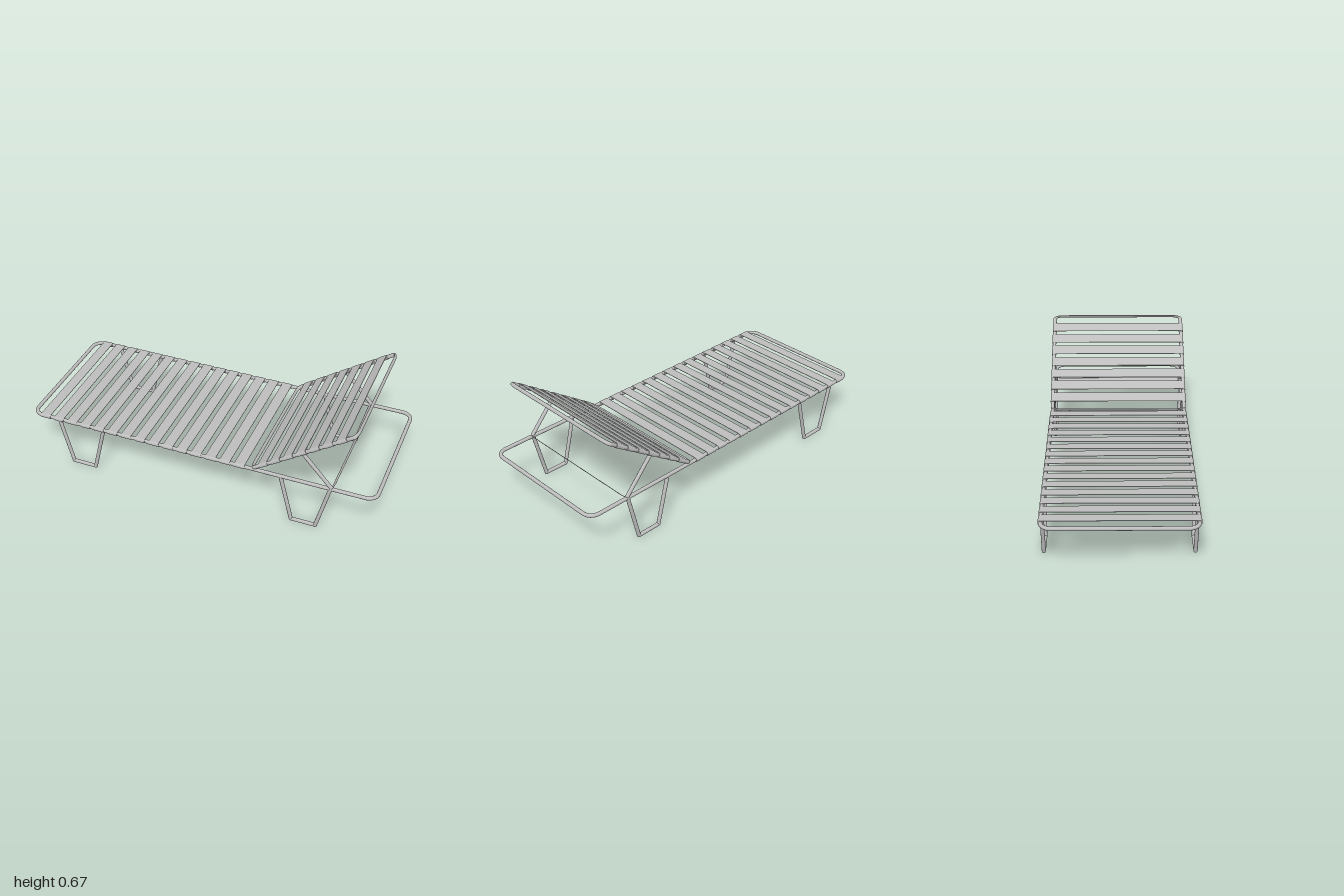
import * as THREE from 'three';

const R = 0.0105;        // tube radius
const HALF_W = 0.385;    // tube centre line, half width
const HALF_L = 0.988;    // main frame centre line, half length
const DECK_Y = 0.287;
const PITCH = 0.0826;    // strap spacing

const metal = new THREE.MeshStandardMaterial({ color: 0xbdbdbd });
metal.name = 'lightGrey';

// Closed rounded rectangle of tube lying in the xz plane
function frameGeometry() {
  const c = 0.055, k = c * 0.45;
  const path = new THREE.CurvePath();
  path.arcLengthDivisions = 800;
  const v = (x, z) => new THREE.Vector3(x, 0, z);
  const corners = [[1, 1], [-1, 1], [-1, -1], [1, -1]];
  corners.forEach(([sx, sz], i) => {
    const x = sx * HALF_L, z = sz * HALF_W;
    const nearX = v(x - sx * c, z), nearZ = v(x, z - sz * c);
    const kX = v(x - sx * k, z), kZ = v(x, z - sz * k);
    // Odd corners are entered along x, even corners along z
    const [a, ka, kb, b] = i % 2 ? [nearX, kX, kZ, nearZ] : [nearZ, kZ, kX, nearX];
    path.add(new THREE.CubicBezierCurve3(a, ka, kb, b));
    const [nx, nz] = corners[(i + 1) % 4];
    const end = i % 2 ? v(nx * HALF_L, nz * (HALF_W - c)) : v(nx * (HALF_L - c), nz * HALF_W);
    path.add(new THREE.LineCurve3(b, end));
  });
  return new THREE.TubeGeometry(path, 400, R, 12, true);
}

// Band across the top of both side tubes, with a sleeve round each tube
function strapGeometry() {
  const r = 0.0127, width = 0.058, under = 0.0098;
  const a = Math.PI - Math.asin(under / r);
  const s = new THREE.Shape();
  s.moveTo(-HALF_W, r);
  s.lineTo(HALF_W, r);
  s.absarc(HALF_W, 0, r, Math.PI / 2, a - 2 * Math.PI, true);
  s.lineTo(-HALF_W - r * Math.cos(a), under);
  s.absarc(-HALF_W, 0, r, Math.PI - a, Math.PI / 2 - 2 * Math.PI, true);
  const g = new THREE.ExtrudeGeometry(s, { depth: width, bevelEnabled: false, curveSegments: 14 });
  return g.translate(0, 0, -width / 2).rotateY(Math.PI / 2);
}

function mesh(name, geometry, parent) {
  const m = new THREE.Mesh(geometry, metal);
  m.name = name;
  parent.add(m);
  return m;
}

// Straight tube between two points
function rod(name, a, b, parent) {
  const d = b.clone().sub(a);
  const m = mesh(name, new THREE.CylinderGeometry(R, R, d.length(), 12), parent);
  m.position.copy(a).add(b).multiplyScalar(0.5);
  m.quaternion.setFromUnitVectors(new THREE.Vector3(0, 1, 0), d.normalize());
}

// Group whose local x axis runs from (x0, y0) to (x1, y1), holding a shortened frame
function slopedFrame(name, x0, y0, x1, y1, geometry, parent) {
  const g = new THREE.Group();
  g.name = name;
  g.position.set(x0, y0, 0);
  g.rotation.z = Math.atan2(y1 - y0, x1 - x0);
  const length = Math.hypot(x1 - x0, y1 - y0);
  const f = mesh(name + 'Frame', geometry, g);
  f.scale.x = length / (2 * HALF_L);
  f.position.x = length / 2;
  parent.add(g);
  return g;
}

export function createModel() {
  const model = new THREE.Group();
  model.name = 'sunLounger';
  const frame = frameGeometry();
  const strap = strapGeometry();

  // Deck
  mesh('mainFrame', frame, model).position.y = DECK_Y;
  for (let i = 0; i < 15; i++) {
    mesh('seatStrap', strap, model).position.set(-0.908 + i * PITCH, DECK_Y, 0);
  }

  // Reclining back and the prop behind it
  const back = slopedFrame('backrest', 0.315, 0.29, 0.862, 0.666, frame, model);
  for (let i = 0; i < 7; i++) {
    mesh('backStrap', strap, back).position.x = 0.08 + i * PITCH;
  }
  slopedFrame('backProp', 0.757, 0.288, 0.59, 0.475, frame, model);

  // Four tapered leg loops
  for (const x of [-0.689, 0.612]) {
    for (const z of [-HALF_W, HALF_W]) {
      const leg = new THREE.Group();
      leg.name = 'leg';
      leg.position.set(x, 0, z);
      const p = [[-0.136, DECK_Y], [-0.068, R], [0.068, R], [0.136, DECK_Y]]
        .map(([px, py]) => new THREE.Vector3(px, py, 0));
      for (let i = 0; i < 3; i++) rod('legTube', p[i], p[i + 1], leg);
      for (const q of [p[1], p[2]]) {
        mesh('legCorner', new THREE.SphereGeometry(R, 12, 8), leg).position.copy(q);
      }
      model.add(leg);
    }
  }
  return model;
}
